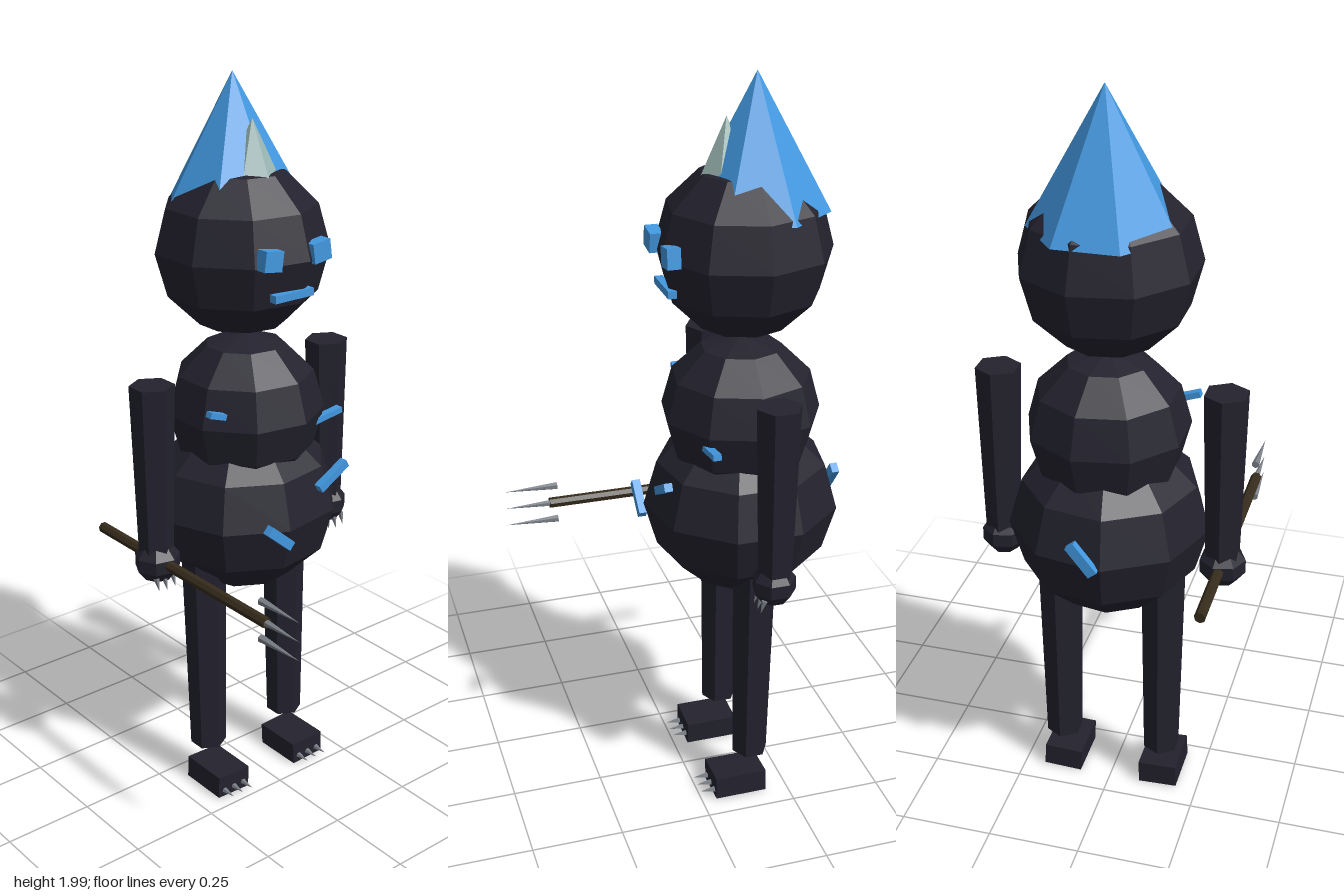
import * as THREE from 'three';

const mat = (name, color) => {
  const m = new THREE.MeshStandardMaterial({ color, flatShading: true });
  m.name = name;
  return m;
};

export function createModel() {
  const coal = mat('coal', 0x23222e);
  const blue = mat('blue', 0x4298e0);
  const pale = mat('paleFlame', 0x9db9b6);
  const steel = mat('steel', 0x7b8088);
  const wood = mat('darkWood', 0x362c1c);

  const model = new THREE.Group();
  model.name = 'hornedFigure';

  const add = (name, geometry, material, x, y, z, parent = model) => {
    const mesh = new THREE.Mesh(geometry, material);
    mesh.name = name;
    mesh.position.set(x, y, z);
    parent.add(mesh);
    return mesh;
  };

  // Faceted ball, optionally squashed in height
  const ball = (name, r, ry, x, y, z, w = 9, h = 6, turn = 0) => {
    const b = add(name, new THREE.SphereGeometry(r, w, h), coal, x, y, z);
    b.scale.y = ry / r;
    b.rotation.y = turn;
    return b;
  };

  // Tapered limb between two points
  const limb = (name, top, bottom, rTop, rBottom, sides = 6) => {
    const a = new THREE.Vector3(...top), b = new THREE.Vector3(...bottom);
    const mid = a.clone().add(b).multiplyScalar(0.5);
    const m = add(name, new THREE.CylinderGeometry(rTop, rBottom, a.distanceTo(b), sides), coal, mid.x, mid.y, mid.z);
    m.quaternion.setFromUnitVectors(new THREE.Vector3(0, 1, 0), a.sub(b).normalize());
    return m;
  };

  // Body
  ball('belly', 0.262, 0.245, 0, 0.855, -0.16);
  ball('chest', 0.212, 0.208, 0.006, 1.122, -0.153, 9, 6, Math.PI);
  ball('head', 0.23, 0.228, 0, 1.56, -0.157, 9, 6, Math.PI);

  // Flame on the head, with a small pale tongue in front
  add('flame', new THREE.CylinderGeometry(0, 0.19, 0.34, 7), blue, 0, 1.83, -0.185);
  add('flameTongue', new THREE.CylinderGeometry(0, 0.1, 0.22, 6), pale, 0, 1.785, -0.108);

  // Face
  for (const s of [-1, 1]) {
    const eye = add(s > 0 ? 'leftEye' : 'rightEye', new THREE.BoxGeometry(0.056, 0.052, 0.035), blue, s * 0.078, 1.58, 0.055);
    eye.rotation.z = s * 0.14;
  }
  add('mouth', new THREE.BoxGeometry(0.125, 0.02, 0.022), blue, 0, 1.477, 0.047);

  // Glowing cracks: x, y, z, length, thickness, tilt
  [
    [-0.18, 1.173, -0.037, 0.052, 0.016, -0.33],
    [0.176, 1.092, -0.02, 0.102, 0.016, 0.14],
    [0.107, 0.97, 0.086, 0.106, 0.022, 0.52],
    [-0.086, 0.85, 0.1, 0.098, 0.026, -0.72],
    [0, 0.885, -0.42, 0.095, 0.028, 0.9],
  ].forEach(([x, y, z, length, thick, tilt]) => {
    const depth = z < -0.3 ? 0.02 : 0.022;
    add('crack', new THREE.BoxGeometry(length, thick, depth), blue, x, y, z).rotation.z = tilt;
  });

  // Limbs, hands and feet on both sides
  for (const s of [-1, 1]) {
    const side = s > 0 ? 'left' : 'right';
    limb(side + 'Arm', [s * 0.295, 1.25, -0.155], [s * 0.298, 0.77, -0.155], 0.059, 0.046);
    ball(side + 'Hand', s > 0 ? 0.06 : 0.064, 0.058, s * 0.298, 0.757, -0.152, 7, 5);
    limb(side + 'Leg', [s * 0.142, 0.74, -0.155], [s * 0.141, 0.13, -0.152], 0.061, 0.05);

    const foot = add(side + 'Foot', new THREE.BoxGeometry(0.106, 0.064, 0.146), coal, s * 0.138, 0.042, -0.113);
    foot.rotation.z = s * 0.04;

    for (const i of [-1, 0, 1]) {
      // Finger claws point down, toe claws point forward
      const claw = add(side + 'FingerClaw', new THREE.ConeGeometry(0.009, 0.036, 5), steel,
        s * 0.3 + i * 0.026, 0.708 - (i ? 0 : 0.004), -0.113);
      claw.rotation.x = Math.PI - 0.3;
      const toe = add(side + 'ToeClaw', new THREE.ConeGeometry(0.009, 0.045, 5), steel,
        s * 0.138 + i * 0.033, 0.03, -0.021);
      toe.rotation.x = Math.PI / 2;
    }
  }

  // Three-pronged spear held in the right hand
  const spear = new THREE.Group();
  spear.name = 'spear';
  spear.position.set(-0.297, 0.76, 0);
  spear.rotation.x = Math.PI / 2;
  model.add(spear);
  add('shaft', new THREE.CylinderGeometry(0.015, 0.015, 0.715, 7), wood, 0, -0.053, 0, spear);
  for (const i of [-1, 0, 1]) {
    add('prong', new THREE.ConeGeometry(0.011, 0.148, 6), steel, 0, 0.356, i * 0.052, spear);
  }

  return model;
}
